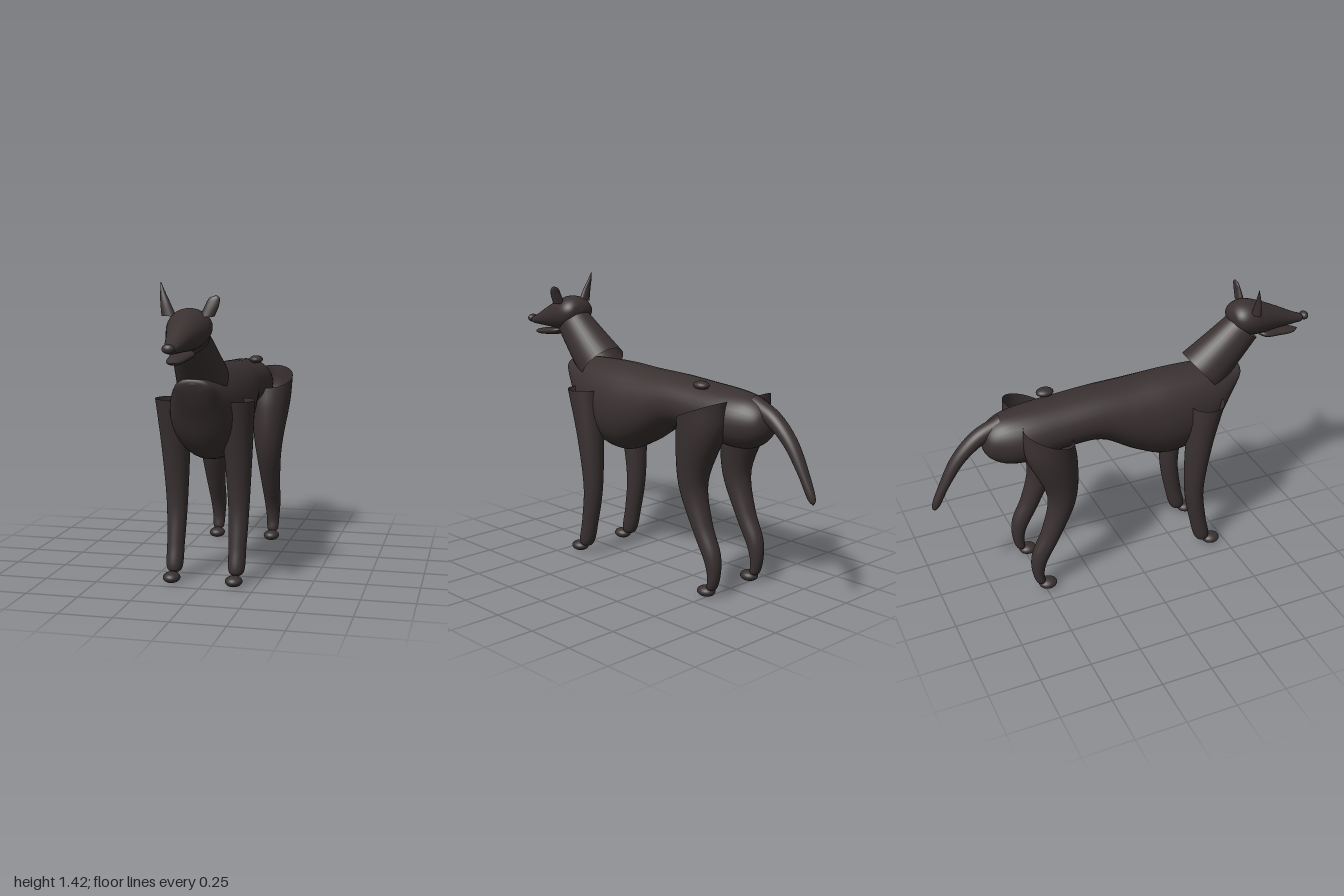
import * as THREE from 'three';

const coat = new THREE.MeshStandardMaterial({ color: 0x3a3131, side: THREE.DoubleSide });
coat.name = 'dark brown coat';

// Smooth skin through elliptical rings. Each ring: [halfWidth, zA, yA, zB, yB, centreX],
// where A and B are its two opposite ends in the side profile.
function loft(name, rings, steps = 6, sides = 32) {
  const edgeA = new THREE.CatmullRomCurve3(rings.map(r => new THREE.Vector3(r[0], r[2], r[1])));
  const edgeB = new THREE.CatmullRomCurve3(rings.map(r => new THREE.Vector3(r[5] || 0, r[4], r[3])));
  const rows = (rings.length - 1) * steps;
  const positions = [], index = [];
  for (let i = 0; i <= rows; i++) {
    const a = edgeA.getPoint(i / rows), b = edgeB.getPoint(i / rows);
    const cy = (a.y + b.y) / 2, cz = (a.z + b.z) / 2;
    const hy = (a.y - b.y) / 2, hz = (a.z - b.z) / 2;
    for (let j = 0; j < sides; j++) {
      const t = (j / sides) * Math.PI * 2, c = Math.cos(t);
      positions.push(b.x + Math.max(a.x, 0) * Math.sin(t), cy + hy * c, cz + hz * c);
      if (i < rows) {
        const p = i * sides + j, q = i * sides + (j + 1) % sides;
        index.push(p, q, p + sides, q, q + sides, p + sides);
      }
    }
  }
  const geo = new THREE.BufferGeometry();
  geo.setAttribute('position', new THREE.Float32BufferAttribute(positions, 3));
  geo.setIndex(index);
  geo.computeVertexNormals();
  const mesh = new THREE.Mesh(geo, coat);
  mesh.name = name;
  return mesh;
}

function ellipsoid(name, x, y, z, rx, ry, rz) {
  const mesh = new THREE.Mesh(new THREE.SphereGeometry(1, 24, 16), coat);
  mesh.position.set(x, y, z);
  mesh.scale.set(rx, ry, rz);
  mesh.name = name;
  return mesh;
}

export function createModel() {
  const dog = new THREE.Group();
  dog.name = 'dog';

  // Deep chest, tucked belly and rounded rump
  dog.add(loft('body', [
    [0, 0.605, 0.965, 0.605, 0.965],
    [0.075, 0.595, 0.99, 0.59, 0.92],
    [0.11, 0.54, 1.0, 0.535, 0.81],
    [0.155, 0.42, 1.01, 0.42, 0.63],
    [0.18, 0.2, 1.013, 0.2, 0.565],
    [0.172, 0.03, 1.005, 0.03, 0.63],
    [0.152, -0.16, 1.0, -0.16, 0.74],
    [0.148, -0.33, 0.99, -0.33, 0.745],
    [0.143, -0.55, 0.975, -0.55, 0.71],
    [0.112, -0.65, 0.955, -0.65, 0.725],
    [0.07, -0.71, 0.915, -0.715, 0.775],
    [0, -0.74, 0.85, -0.74, 0.85],
  ]));

  // Open neck tube
  dog.add(loft('neck', [
    [0.122, 0.325, 1.065, 0.49, 0.87],
    [0.105, 0.44, 1.145, 0.595, 0.985],
    [0.086, 0.55, 1.225, 0.7, 1.107],
  ]));

  // Skull and long muzzle
  dog.add(loft('head', [
    [0, 0.553, 1.235, 0.553, 1.235],
    [0.065, 0.568, 1.275, 0.565, 1.19],
    [0.093, 0.6, 1.298, 0.6, 1.15],
    [0.1, 0.65, 1.305, 0.65, 1.128],
    [0.086, 0.72, 1.283, 0.72, 1.122],
    [0.06, 0.81, 1.242, 0.81, 1.125],
    [0.036, 0.915, 1.187, 0.915, 1.128],
    [0.022, 0.962, 1.165, 0.96, 1.132],
    [0, 0.972, 1.15, 0.972, 1.15],
  ]));
  dog.add(loft('lowerJaw', [
    [0, 0.7, 1.125, 0.7, 1.125],
    [0.05, 0.74, 1.133, 0.74, 1.096],
    [0.045, 0.82, 1.122, 0.82, 1.084],
    [0.03, 0.91, 1.106, 0.91, 1.08],
    [0, 0.948, 1.092, 0.948, 1.092],
  ]));
  dog.add(ellipsoid('nose', 0, 1.155, 0.98, 0.028, 0.021, 0.021));

  // One tall pricked ear, one shorter rounded ear
  dog.add(loft('rightEar', [
    [0.033, 0.672, 1.27, 0.634, 1.27, -0.09],
    [0.022, 0.663, 1.33, 0.637, 1.33, -0.107],
    [0.01, 0.65, 1.38, 0.635, 1.38, -0.121],
    [0, 0.637, 1.422, 0.637, 1.422, -0.13],
  ]));
  dog.add(loft('leftEar', [
    [0.033, 0.672, 1.27, 0.634, 1.27, 0.082],
    [0.031, 0.663, 1.32, 0.637, 1.32, 0.104],
    [0.023, 0.655, 1.35, 0.638, 1.35, 0.114],
    [0, 0.645, 1.363, 0.645, 1.363, 0.122],
  ]));

  // Legs with open tops, and paws
  for (const [side, x] of [['left', 0.15], ['right', -0.15]]) {
    dog.add(loft(side + 'FrontLeg', [
      [0.086, 0.46, 0.872, 0.288, 0.872, x],
      [0.067, 0.402, 0.625, 0.268, 0.625, x],
      [0.05, 0.367, 0.36, 0.27, 0.36, x],
      [0.042, 0.388, 0.18, 0.302, 0.18, x],
      [0.034, 0.408, 0.06, 0.342, 0.05, x],
      [0, 0.378, 0.035, 0.378, 0.035, x],
    ]));
    dog.add(loft(side + 'HindLeg', [
      [0.115, -0.33, 0.845, -0.568, 0.942, x],
      [0.105, -0.315, 0.73, -0.57, 0.81, x],
      [0.07, -0.328, 0.52, -0.467, 0.54, x],
      [0.05, -0.42, 0.305, -0.502, 0.36, x],
      [0.041, -0.49, 0.17, -0.56, 0.225, x],
      [0.034, -0.505, 0.105, -0.567, 0.14, x],
      [0.026, -0.503, 0.05, -0.545, 0.05, x],
      [0, -0.524, 0.035, -0.524, 0.035, x],
    ]));
    dog.add(ellipsoid(side + 'FrontPaw', x, 0.028, 0.427, 0.041, 0.026, 0.046));
    dog.add(ellipsoid(side + 'HindPaw', x, 0.028, -0.487, 0.041, 0.026, 0.046));
  }

  // Drooping tail
  dog.add(loft('tail', [
    [0.043, -0.64, 0.967, -0.69, 0.86],
    [0.041, -0.77, 0.907, -0.745, 0.83],
    [0.036, -0.877, 0.8, -0.823, 0.765],
    [0.027, -0.957, 0.65, -0.905, 0.65],
    [0.014, -0.998, 0.545, -0.965, 0.54],
    [0, -0.988, 0.523, -0.988, 0.523],
  ]));

  // Small lump on the back
  dog.add(ellipsoid('backLump', 0.085, 0.988, -0.38, 0.035, 0.02, 0.043));

  return dog;
}
